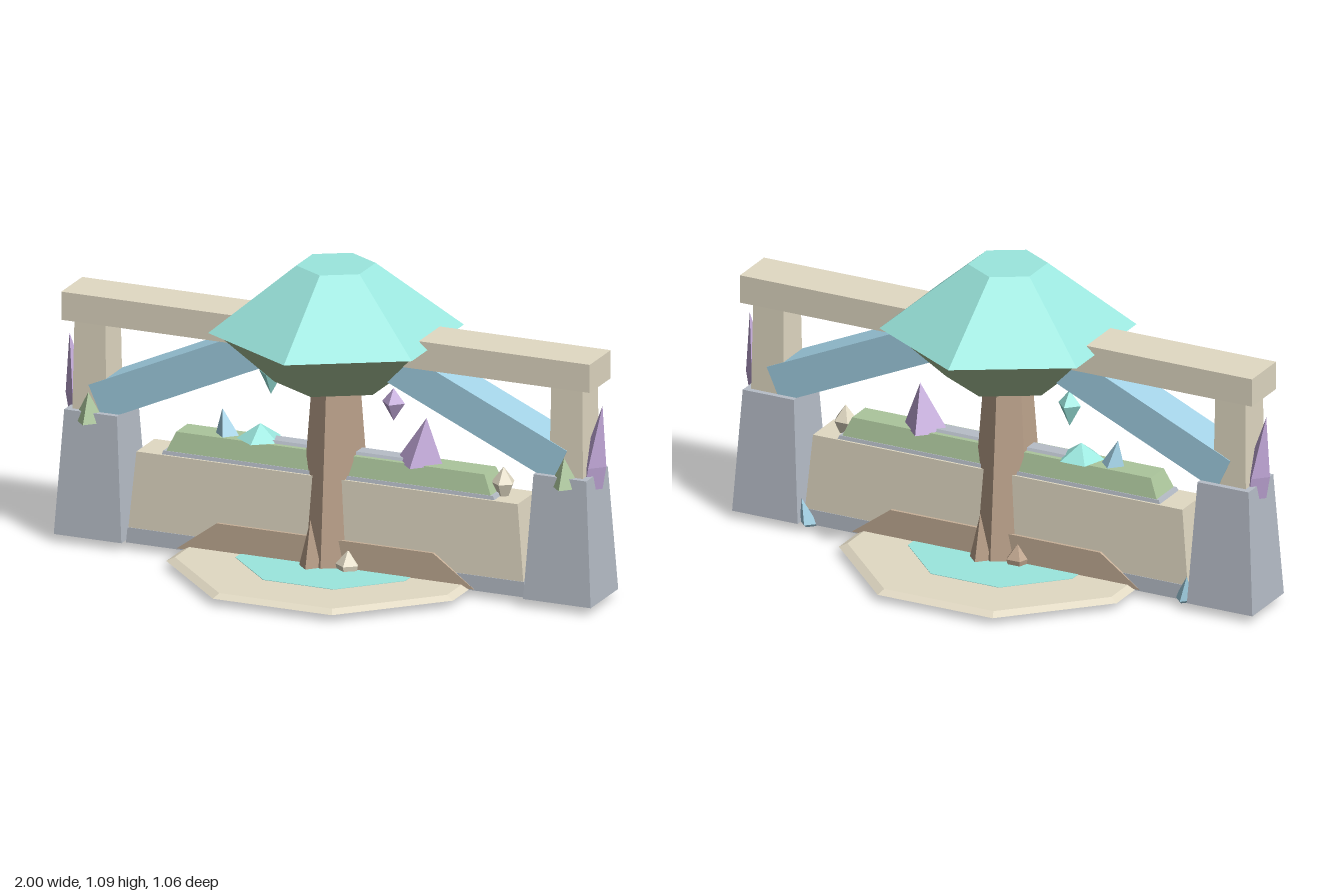
import * as THREE from 'three';

const mat = (name, color, side = THREE.FrontSide) => {
  const m = new THREE.MeshStandardMaterial({ color, side, flatShading: true });
  m.name = name;
  return m;
};

export function createModel() {
  const root = new THREE.Group();
  const cream = mat('cream stone', 0xe2dac4, THREE.DoubleSide);
  const grey = mat('grey stone', 0xb7bec8, THREE.DoubleSide);
  const aqua = mat('aqua', 0x9eebe2), blue = mat('pale blue', 0xa3d2e6);
  const purple = mat('purple', 0xbfa6d6), green = mat('moss green', 0xacc69c);
  const brown = mat('bark brown', 0xbea48d), clay = mat('clay', 0xc7b098);

  const add = (name, geo, material, x = 0, y = 0, z = 0) => {
    const g = geo.index ? geo.toNonIndexed() : geo;
    g.computeVertexNormals();
    const m = new THREE.Mesh(g, material);
    m.name = name;
    m.position.set(x, y, z);
    root.add(m);
    return m;
  };

  // Tapered block from y0 to y1, optionally without its underside
  const taper = (w0, d0, w1, d1, y0, y1, open = false) => {
    const g = new THREE.BoxGeometry(1, y1 - y0, 1);
    const p = g.attributes.position;
    for (let i = 0; i < p.count; i++) {
      const top = p.getY(i) > 0;
      p.setX(i, p.getX(i) * (top ? w1 : w0));
      p.setZ(i, p.getZ(i) * (top ? d1 : d0));
    }
    if (open) {
      const idx = Array.from(g.index.array);
      idx.splice(18, 6);
      g.setIndex(idx);
    }
    return g.translate(0, (y0 + y1) / 2, 0);
  };

  // Pointed crystal: widest at height h0, tip at h1, lower end at 0; tip leans by leanX, leanZ
  const crystal = (r, h0, h1, sides = 4, rBase = 0, leanX = 0, leanZ = 0) => {
    const pts = [[0, 0], [rBase, 0], [r, h0], [0, h1]]
      .filter((q, i) => !(i === 1 && rBase === 0) && !(i === 2 && h0 === 0))
      .map(q => new THREE.Vector2(q[0], q[1]));
    const g = new THREE.LatheGeometry(pts, sides);
    const p = g.attributes.position;
    for (let i = 0; i < p.count; i++) {
      const t = p.getY(i) / h1;
      p.setX(i, p.getX(i) + leanX * t);
      p.setZ(i, p.getZ(i) + leanZ * t);
    }
    return g;
  };

  // Octagonal base and pool
  add('basePlate', new THREE.CylinderGeometry(0.545, 0.574, 0.014, 8).rotateY(Math.PI / 8), cream, 0, 0.034, 0);
  add('pool', new THREE.CylinderGeometry(0.34, 0.34, 0.004, 8).rotateY(Math.PI / 8), aqua, 0, 0.0405, 0);

  // Wall with footing, clay patch and planted top
  add('wall', taper(1.47, 0.173, 1.41, 0.15, 0.03, 0.35, true), cream);
  add('wallFooting', taper(1.476, 0.175, 1.466, 0.173, 0.026, 0.08, true), grey);
  add('clayPatch', taper(1.1, 0.178, 0.8, 0.186, 0.03, 0.14), clay);
  add('planterEdge', taper(1.23, 0.135, 1.22, 0.13, 0.35, 0.363), grey);
  add('hedge', taper(1.2, 0.125, 1.14, 0.095, 0.363, 0.43), green);
  for (const s of [-1, 1])
    add('topSlab', taper(0.22, 0.06, 0.2, 0.05, 0.43, 0.44), grey, s * 0.16, 0, 0);

  // Trunk and canopy
  add('trunk', new THREE.CylinderGeometry(0.08, 0.13, 0.67, 6), brown, 0, 0.365, 0);
  add('canopyUnderside', new THREE.CylinderGeometry(0.41, 0.21, 0.18, 6), green, 0, 0.768, 0);
  add('canopyTop', new THREE.CylinderGeometry(0.135, 0.435, 0.23, 6), aqua, 0, 0.973, 0);

  // Overhead beam
  add('beam', new THREE.BoxGeometry(1.955, 0.1, 0.175), cream, 0, 0.836, 0);

  // Side supports, mirrored; each pedestal is hollow with a cream lining
  for (const s of [-1, 1]) {
    add('pedestal', taper(0.25, 0.23, 0.195, 0.18, 0.03, 0.47, true), grey, s * 0.868, 0, 0);
    add('pedestalLining', taper(0.235, 0.215, 0.18, 0.165, 0.031, 0.46, true), cream, s * 0.868, 0, 0);
    add('post', taper(0.125, 0.14, 0.115, 0.126, 0.45, 0.79), cream, s * 0.882, 0, 0);
    const brace = add('brace', new THREE.BoxGeometry(0.72, 0.13, 0.14), blue, s * 0.53, 0.65, 0);
    brace.rotation.z = -s * 0.423;
    add('outerCrystal', crystal(0.047, 0.08, 0.295, 4, 0.045, s * 0.045), purple, s * 0.941, 0.42, 0);
    add('pedestalCrystal', crystal(0.057, 0, 0.105, 4, 0.057, 0, 0.012), green, s * 0.88, 0.435, 0.07);
    add('footCrystal', crystal(0.035, 0.01, 0.1, 4, 0.025, s * 0.02, -0.02), blue, s * 0.715, 0.02, -0.08);
    add('footShard', crystal(0.05, 0.01, 0.035, 5, 0.03), blue, s * 0.69, 0.015, -0.04);
  }

  // Hanging gems
  add('hangingGem', crystal(0.043, 0.08, 0.13), aqua, -0.27, 0.57, -0.066);
  add('hangingGem', crystal(0.042, 0.065, 0.115), purple, 0.25, 0.59, 0.083);

  // Crystals on the wall
  add('wallCrystal', crystal(0.045, 0, 0.095, 4, 0.045, -0.02), blue, -0.4, 0.425, 0);
  add('wallCrystal', crystal(0.08, 0, 0.055, 5, 0.08), aqua, -0.28, 0.43, 0);
  add('wallCrystal', crystal(0.085, 0, 0.16, 4, 0.085, 0.025), purple, 0.31, 0.425, 0);
  add('wallStone', crystal(0.042, 0.05, 0.105, 5, 0.02), cream, 0.62, 0.345, 0);

  // Root spikes in front and behind, and stones round the trunk foot
  for (const s of [-1, 1]) {
    add('rootSpike', crystal(0.042, 0.02, 0.2, 4, 0.035, s * 0.01, s * 0.02), brown, -s * 0.045, 0.014, s * 0.115);
    add('rootStone', crystal(0.043, 0.04, 0.09, 5, 0.035), s > 0 ? cream : brown, s * 0.085, 0.02, s * 0.09);
  }
  for (let i = 0; i < 6; i++) {
    const a = i * Math.PI / 3 + 0.3;
    const m = add('buriedRoot', new THREE.ConeGeometry(0.02, 0.13, 4), i % 2 ? clay : brown,
      Math.cos(a) * 0.07, 0.022, Math.sin(a) * 0.07);
    m.rotation.set(0, -a, -Math.PI / 2);
  }
  return root;
}
